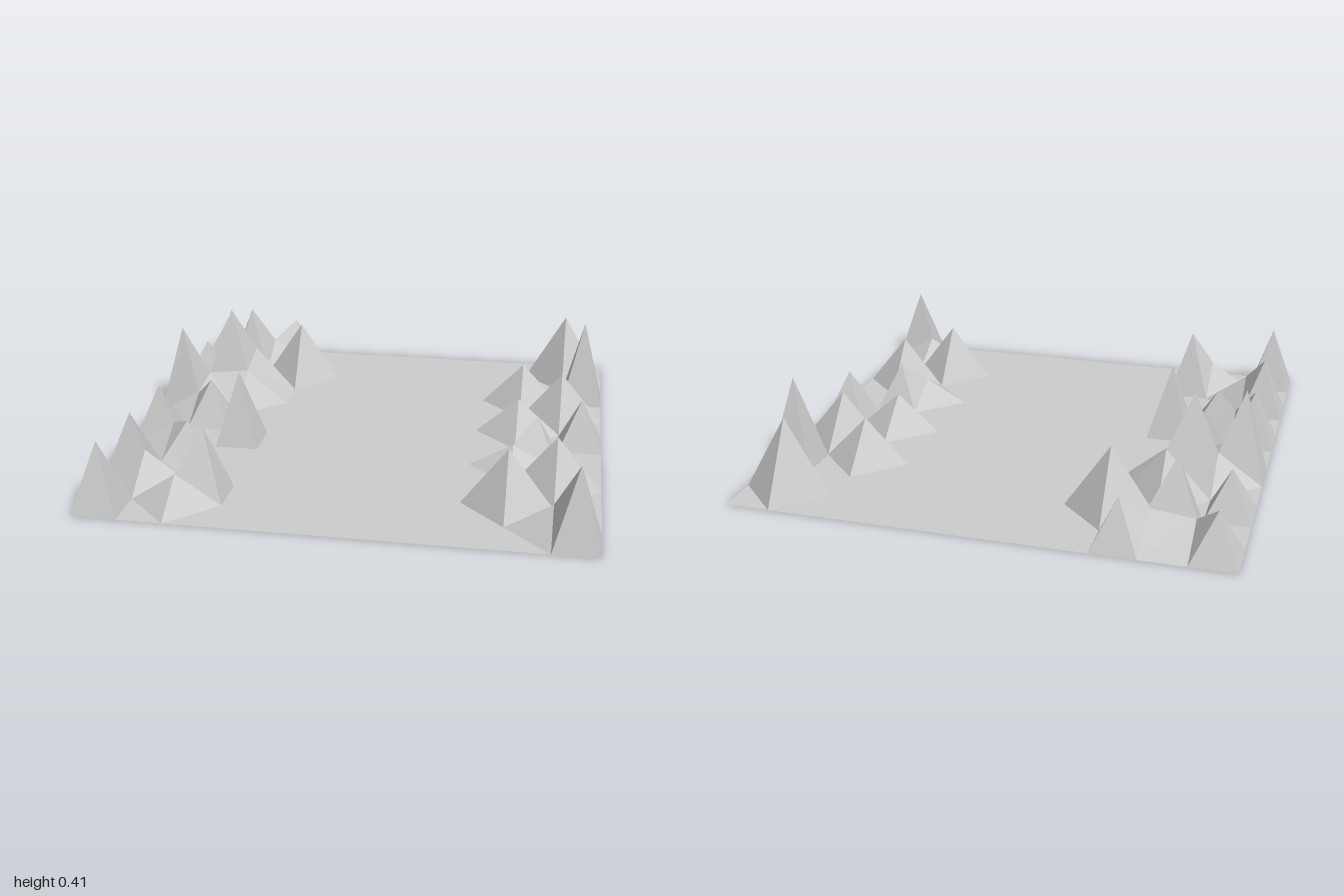
import * as THREE from 'three';

const N = 11;             // cells per side
const STEP = 2 / N;

// Raised grid corners: [column, row, height]
const FOOTHILLS = [
  [2, 1, 0.12], [1, 1, 0.1], [3, 2, 0.27], [2, 3, 0.2], [2, 4, 0.15], [1, 4, 0.13],
  [1, 5, 0.1], [1, 7, 0.1], [1, 9, 0.13], [2, 10, 0.12],
  [10, 1, 0.315], [9, 3, 0.19], [10, 4, 0.22], [9, 5, 0.16],
  [9, 7, 0.1], [10, 8, 0.225], [9, 9, 0.24], [10, 10, 0.11],
];

// Cells drawn up to a central apex: [column, row, height]
const PEAKS = [
  [0, 0, 0.19], [0, 2, 0.19], [0, 4, 0.375], [0, 6, 0.23], [0, 8, 0.25], [0, 10, 0.28],
  [1, 1, 0.305], [1, 3, 0.415], [1, 5, 0.2], [1, 7, 0.15],
  [2, 0, 0.2], [2, 6, 0.315], [2, 9, 0.29],
  [10, 2, 0.375], [10, 5, 0.21], [9, 6, 0.2], [10, 10, 0.315],
];

const key = (i, j) => i * 100 + j;
const toMap = (list) => new Map(list.map(([i, j, h]) => [key(i, j), h]));

export function createModel() {
  const group = new THREE.Group();
  group.name = 'mountainValley';
  const material = new THREE.MeshStandardMaterial({
    color: 0xcccccc, flatShading: true, side: THREE.DoubleSide,
  });
  const hills = toMap(FOOTHILLS);
  const peaks = toMap(PEAKS);
  const corner = (i, j) => [-1 + i * STEP, hills.get(key(i, j)) ?? 0, -1 + j * STEP];

  // Triangles of one cell, corners running counter-clockwise from above
  function cell(i, j) {
    const c = [corner(i, j), corner(i, j + 1), corner(i + 1, j + 1), corner(i + 1, j)];
    const peak = peaks.get(key(i, j));
    if (peak !== undefined) {
      const apex = [-1 + (i + 0.5) * STEP, peak, -1 + (j + 0.5) * STEP];
      return c.flatMap((p, k) => [p, c[(k + 1) % 4], apex]);
    }
    // Fold along the lower diagonal so each raised corner stands as a pyramid
    return c[0][1] + c[2][1] <= c[1][1] + c[3][1]
      ? [c[0], c[1], c[2], c[0], c[2], c[3]]
      : [c[0], c[1], c[3], c[1], c[2], c[3]];
  }

  // One strip of terrain between two columns
  function strip(name, from, to) {
    const points = [];
    for (let i = from; i < to; i++) for (let j = 0; j < N; j++) points.push(...cell(i, j));
    const geometry = new THREE.BufferGeometry();
    geometry.setAttribute('position', new THREE.Float32BufferAttribute(points.flat(), 3));
    geometry.computeVertexNormals();
    const mesh = new THREE.Mesh(geometry, material);
    mesh.name = name;
    group.add(mesh);
  }

  strip('rightMountainRange', 0, 4);
  strip('leftMountainRange', 8, N);

  // Flat valley floor between the ranges
  const floor = new THREE.Mesh(new THREE.PlaneGeometry(4 * STEP, 2).rotateX(-Math.PI / 2), material);
  floor.position.x = -1 + 6 * STEP;
  floor.name = 'valleyFloor';
  group.add(floor);

  return group;
}
